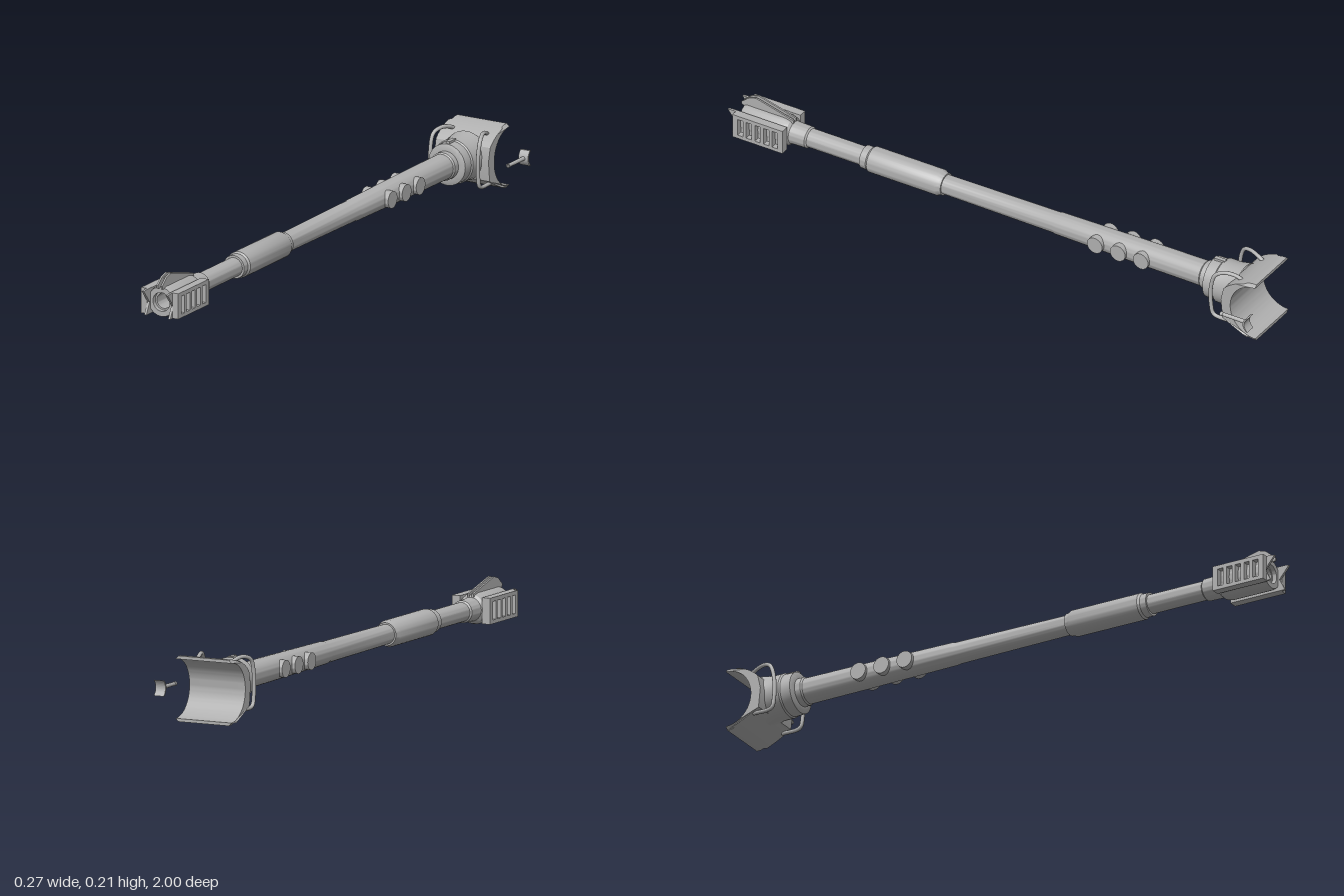
import * as THREE from 'three';
import { toCreasedNormals } from 'three/addons/utils/BufferGeometryUtils.js';

export function createModel() {
  const model = new THREE.Group();
  const steel = new THREE.MeshStandardMaterial({ color: 0xb0b0b0, side: THREE.DoubleSide });
  steel.name = 'steel';

  // Everything on the gun is placed relative to the bore axis
  const gun = new THREE.Group();
  gun.name = 'gun';
  gun.position.set(-0.035, 0.115, 0);
  model.add(gun);

  const add = (parent, name, geometry, x = 0, y = 0, z = 0) => {
    const mesh = new THREE.Mesh(geometry, steel);
    mesh.name = name;
    mesh.position.set(x, y, z);
    parent.add(mesh);
    return mesh;
  };
  // Turned part along z from [radius, z] pairs, rear to front
  const turned = (pairs, sides = 40) => {
    const g = new THREE.LatheGeometry(pairs.map(([r, z]) => new THREE.Vector2(r, z)), sides);
    return toCreasedNormals(g.rotateX(Math.PI / 2), 0.5);
  };
  // Side profile drawn in (z, y), extruded across x and centred
  const sideExtrude = (shape, width) => {
    const g = new THREE.ExtrudeGeometry(shape, { depth: width, bevelEnabled: false, curveSegments: 24 });
    return g.rotateY(-Math.PI / 2).translate(width / 2, 0, 0);
  };
  const outline = (pts) => new THREE.Shape(pts.map(([z, y]) => new THREE.Vector2(z, y)));
  const rect = (z0, z1, y0, y1) => outline([[z0, y0], [z1, y0], [z1, y1], [z0, y1]]);

  // Barrel with tapered rear, thick sleeve and muzzle collar
  add(gun, 'barrel', turned([
    [0.046, -0.8], [0.046, -0.745], [0.042, -0.74], [0.041, -0.55], [0.037, -0.2],
    [0.035, -0.19], [0.032, 0.22], [0.037, 0.22], [0.038, 0.23], [0.043, 0.24],
    [0.043, 0.49], [0.038, 0.497], [0.038, 0.52], [0.031, 0.52], [0.031, 0.72],
    [0.036, 0.725], [0.037, 0.77], [0.04, 0.8],
  ]));

  // Round bosses along both sides of the rear barrel
  for (const z of [-0.36, -0.445, -0.53]) {
    const boss = new THREE.CylinderGeometry(0.028, 0.028, 0.1, 28).rotateZ(Math.PI / 2);
    add(gun, 'barrelBoss', toCreasedNormals(boss, 0.5), 0, 0, z);
  }

  // Muzzle brake drum with a stepped open bore
  add(gun, 'muzzleDrum', turned([
    [0.036, 0.78], [0.046, 0.79], [0.051, 0.81], [0.051, 0.95], [0.048, 0.96],
    [0.031, 0.96], [0.031, 0.945], [0.025, 0.945], [0.025, 0.86], [0, 0.86],
  ]));

  for (const s of [-1, 1]) {
    // Notched cheek plate of the muzzle brake
    add(gun, 'brakeCheek', sideExtrude(outline([
      [0.785, -0.044], [0.985, -0.044], [0.965, -0.005], [1, 0.038], [0.985, 0.04], [0.785, 0.04],
    ]), 0.008), s * 0.044);

    // Slotted vent frame outside the cheek
    const frame = rect(0.785, 0.97, -0.044, 0.04);
    for (let i = 0; i < 5; i++) {
      const z = 0.803 + i * 0.032;
      frame.holes.push(outline([[z, -0.032], [z, 0.027], [z + 0.02, 0.027], [z + 0.02, -0.032]]));
    }
    add(gun, 'brakeVent', sideExtrude(frame, 0.021), s * 0.058);

    // Twin bars of the peaked bracket above the muzzle
    add(gun, 'topBracket', sideExtrude(outline([
      [0.78, 0.038], [0.97, 0.045], [0.972, 0.056], [0.945, 0.078], [0.92, 0.086],
      [0.905, 0.083], [0.78, 0.05],
    ]), 0.006), s * 0.008);

    // Bent grab rail on the mantlet
    const rail = new THREE.CatmullRomCurve3([
      [0.062, 0.07, -0.92], [0.066, 0.083, -0.895], [0.076, 0.088, -0.86], [0.086, 0.075, -0.83],
      [0.088, 0.03, -0.815], [0.088, -0.04, -0.815], [0.088, -0.073, -0.825], [0.088, -0.078, -0.89],
    ].map(([x, y, z]) => new THREE.Vector3(s * x, y, z)));
    add(gun, 'grabRail', new THREE.TubeGeometry(rail, 48, 0.0065, 10));
  }
  add(gun, 'bracketPin', new THREE.CylinderGeometry(0.008, 0.008, 0.04, 16), 0, 0.055, 0.93);

  // Stepped collar joining the barrel to the mantlet
  add(gun, 'mantletCollar', turned([
    [0.08, -0.89], [0.073, -0.85], [0.073, -0.81], [0.069, -0.805],
    [0.068, -0.77], [0.057, -0.765], [0.04, -0.765],
  ]));
  add(gun, 'collarKey', new THREE.BoxGeometry(0.014, 0.016, 0.04), 0, 0.068, -0.795);

  // Mantlet block with a curved hollow back
  const profile = new THREE.Shape();
  profile.moveTo(-0.985, 0.095);
  profile.lineTo(-0.97, 0.095);
  profile.quadraticCurveTo(-0.9, 0.082, -0.868, 0.045);
  profile.lineTo(-0.858, 0);
  profile.lineTo(-0.865, -0.065);
  profile.quadraticCurveTo(-0.92, -0.098, -0.97, -0.115);
  profile.lineTo(-0.985, -0.115);
  profile.lineTo(-0.985, -0.105);
  profile.absellipse(-0.985, -0.01, 0.092, 0.095, -Math.PI / 2, Math.PI / 2, false);
  const block = sideExtrude(profile, 0.2);
  // Clip the outer corners
  const p = block.attributes.position;
  for (let i = 0; i < p.count; i++) {
    const y = p.getY(i);
    if (y > 0.09 || y < -0.11) p.setX(i, p.getX(i) * 0.91);
  }
  block.computeVertexNormals();
  add(gun, 'mantlet', toCreasedNormals(block, 0.5));

  // Separate small side gun with a curved mounting plate
  const sideGun = new THREE.Group();
  sideGun.name = 'sideGun';
  sideGun.position.set(0.1175, 0.104, 0);
  model.add(sideGun);
  add(sideGun, 'sideGunBarrel', turned([
    [0.007, -0.985], [0.006, -0.9], [0.007, -0.9], [0.007, -0.89], [0.004, -0.89], [0.004, -0.91], [0, -0.91],
  ], 16));
  const plate = new THREE.Shape();
  plate.moveTo(-1, -0.025);
  plate.quadraticCurveTo(-0.975, 0, -1, 0.025);
  plate.lineTo(-0.994, 0.025);
  plate.quadraticCurveTo(-0.969, 0, -0.994, -0.025);
  add(sideGun, 'sideGunPlate', sideExtrude(plate, 0.035));

  return model;
}
